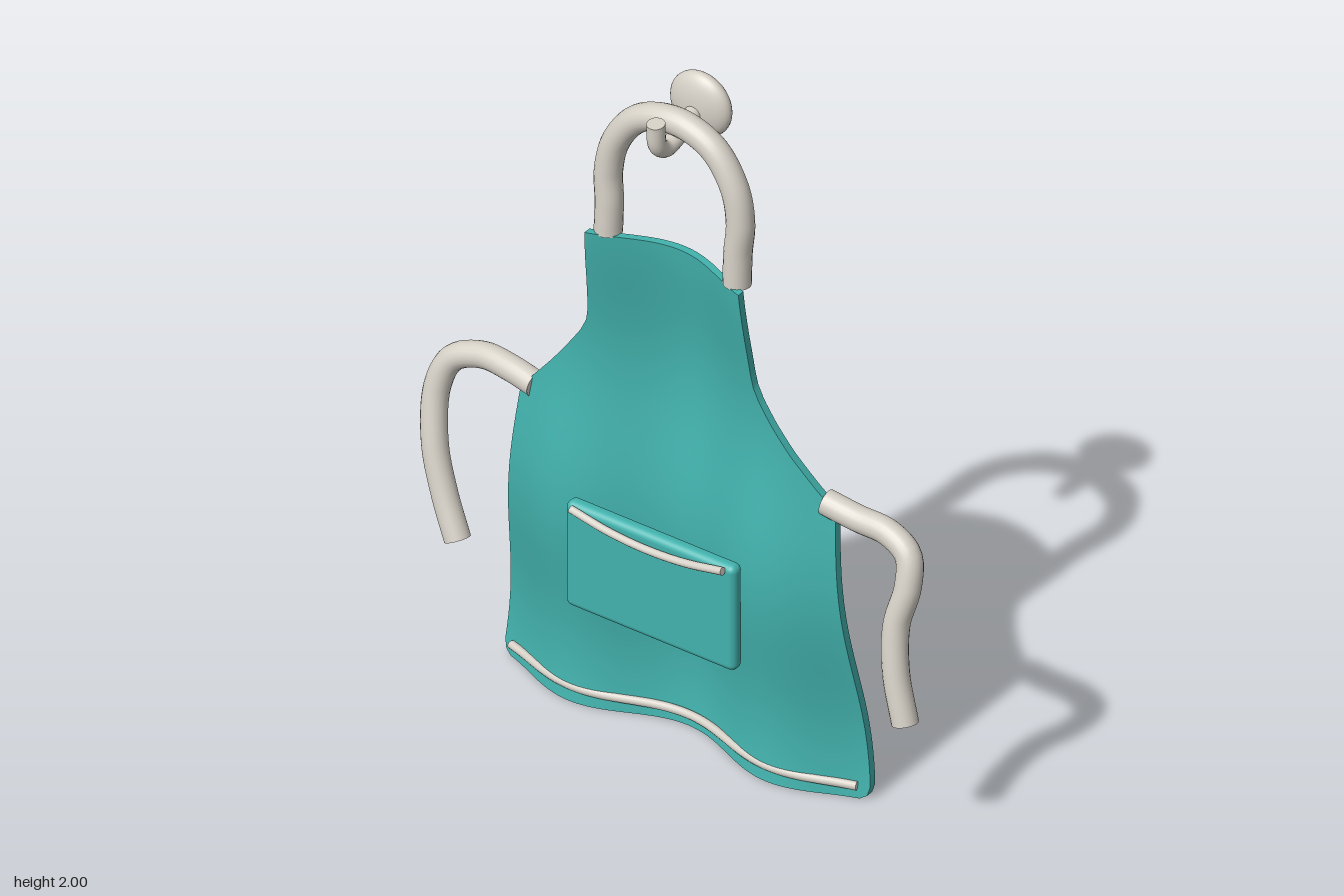
import * as THREE from 'three';
import { RoundedBoxGeometry } from 'three/addons/geometries/RoundedBoxGeometry.js';

const CX = -0.01; // centre line of the apron

// Half width of the cloth at each height
const OUTLINE = [
  [0, 0.555], [0.012, 0.574], [0.04, 0.581], [0.45, 0.541], [0.87, 0.502], [0.9, 0.488], [0.94, 0.452],
  [1.03, 0.378], [1.1, 0.326], [1.16, 0.285], [1.2, 0.266], [1.24, 0.259], [1.35, 0.252], [1.5, 0.245],
];

function halfWidth(y) {
  for (let i = 1; i < OUTLINE.length; i++) {
    const [y0, w0] = OUTLINE[i - 1], [y1, w1] = OUTLINE[i];
    if (y <= y1) return w0 + (w1 - w0) * (y - y0) / (y1 - y0);
  }
  return OUTLINE[OUTLINE.length - 1][1];
}

// Soft folds: vertical waves across the width and a slower wave along the height
const fold = (x, y) => -0.045 * Math.cos(10 * x) - 0.025 * Math.cos(6.6 * (y - 1.1));

export function createModel() {
  const model = new THREE.Group();
  model.name = 'apron';
  const teal = new THREE.MeshStandardMaterial({ color: 0x43b3ae });
  teal.name = 'teal cloth';
  const pale = new THREE.MeshStandardMaterial({ color: 0xd5d0c6 });
  pale.name = 'pale cord';

  function add(name, geometry, material, parent = model) {
    const mesh = new THREE.Mesh(geometry, material);
    mesh.name = name;
    parent.add(mesh);
    return mesh;
  }

  // Round cord through points, closed with flat ends
  function cord(name, points, radius, segments = 48, sides = 20) {
    const group = new THREE.Group();
    group.name = name;
    model.add(group);
    const curve = new THREE.CatmullRomCurve3(points.map((p) => new THREE.Vector3(...p)));
    add(name + 'Tube', new THREE.TubeGeometry(curve, segments, radius, sides), pale, group);
    for (const t of [0, 1]) {
      const cap = add(name + 'End', new THREE.CircleGeometry(radius, sides), pale, group);
      const out = curve.getTangentAt(t).multiplyScalar(t ? 1 : -1);
      cap.position.copy(curve.getPointAt(t));
      cap.quaternion.setFromUnitVectors(new THREE.Vector3(0, 0, 1), out);
    }
  }

  // Cloth body: a thin slab shaped to the outline and bent into folds
  const cloth = new THREE.BoxGeometry(2, 1.5, 0.022, 60, 120, 1);
  const pos = cloth.attributes.position;
  for (let i = 0; i < pos.count; i++) {
    const y = pos.getY(i) + 0.75;
    const x = pos.getX(i) * halfWidth(y);
    pos.setXYZ(i, CX + x, y, pos.getZ(i) + fold(x, y));
  }
  cloth.computeVertexNormals();
  add('clothBody', cloth, teal);

  // Front pocket with a sagging trim
  add('pocket', new RoundedBoxGeometry(0.54, 0.325, 0.045, 4, 0.02), teal).position.set(CX, 0.522, 0.1);
  cord('pocketTrim', [-1, -0.5, 0, 0.5, 1].map((t) => [CX + 0.242 * t, 0.645 + 0.03 * t * t, 0.132]), 0.011, 32, 12);

  // Hem trim along the bottom folds
  const hem = [];
  for (let i = 0; i <= 24; i++) {
    const x = -0.55 + 1.1 * i / 24;
    hem.push([CX + x, 0.04, 0.8 * fold(x, 0.04) + 0.009]);
  }
  cord('hemTrim', hem, 0.012, 64, 10);

  // Neck loop
  const side = [[0.205, 1.495, 0.018], [0.205, 1.59, 0.014], [0.21, 1.68, 0.01], [0.187, 1.78, 0.006], [0.115, 1.873, 0.002]];
  const place = (s) => ([x, y, z]) => [CX + s * x, y, z];
  cord('neckLoop', [...side.map(place(-1)), [CX, 1.907, 0], ...side.map(place(1)).reverse()], 0.038, 72);

  // Waist ties, each hanging its own way
  cord('rightTie', [
    [-0.465, 0.9, -0.01], [-0.55, 0.91, -0.02], [-0.65, 0.907, -0.03], [-0.737, 0.868, -0.02],
    [-0.772, 0.78, 0], [-0.755, 0.63, 0.035], [-0.71, 0.5, 0.055], [-0.655, 0.388, 0.073],
  ], 0.036);
  cord('leftTie', [
    [0.455, 0.9, -0.015], [0.55, 0.885, -0.02], [0.65, 0.877, -0.022], [0.718, 0.84, -0.012],
    [0.733, 0.76, 0.01], [0.715, 0.65, 0.035], [0.73, 0.52, 0.058], [0.77, 0.385, 0.073],
  ], 0.036);

  // Wall hook: round knob plate and a curled peg
  const knob = add('hookPlate', new THREE.SphereGeometry(0.095, 32, 24), pale);
  knob.scale.z = 0.42;
  knob.position.set(CX, 1.905, -0.107);
  cord('hookPeg', [
    [CX, 1.895, -0.1], [CX, 1.885, -0.05], [CX, 1.86, 0], [CX, 1.852, 0.05], [CX, 1.88, 0.084], [CX, 1.95, 0.092],
  ], 0.025, 40, 16);

  return model;
}
